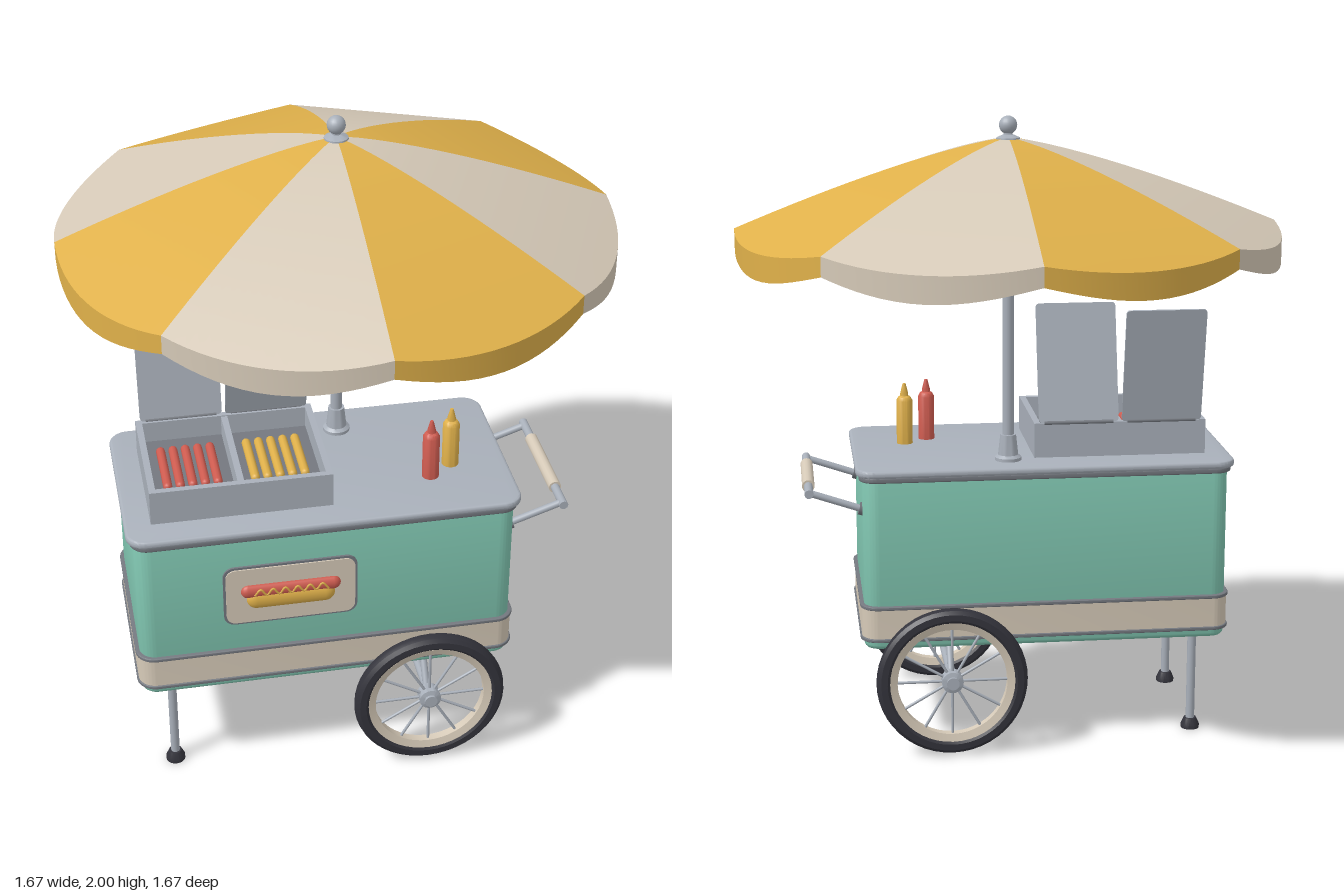
import * as THREE from 'three';
import { toCreasedNormals } from 'three/addons/utils/BufferGeometryUtils.js';

const mat = (name, color, side = THREE.FrontSide) => {
  const m = new THREE.MeshStandardMaterial({ color, side });
  m.name = name;
  return m;
};
const V = (x, y, z) => new THREE.Vector3(x, y, z);

export function createModel() {
  const teal = mat('teal paint', 0x7fc4af);
  const cream = mat('cream', 0xd6cab8, THREE.DoubleSide);
  const yellow = mat('mustard yellow', 0xdfb04a, THREE.DoubleSide);
  const steel = mat('steel', 0xa9b0ba);
  const trim = mat('dark trim', 0x74787f);
  const rubber = mat('black rubber', 0x34343c);
  const red = mat('red', 0xcf5c50);

  const model = new THREE.Group();
  model.name = 'foodCart';
  const add = (name, geo, material, pos = [0, 0, 0], parent = model) => {
    const m = new THREE.Mesh(geo, material);
    m.name = name;
    m.position.set(...pos);
    parent.add(m);
    return m;
  };
  // Rounded rectangle in XY, thickness d along +z, optional bevel b
  const plate = (w, h, d, r, b = 0) => {
    const s = new THREE.Shape(), x = w / 2, y = h / 2;
    s.moveTo(-x + r, -y);
    s.lineTo(x - r, -y).absarc(x - r, -y + r, r, -Math.PI / 2, 0);
    s.lineTo(x, y - r).absarc(x - r, y - r, r, 0, Math.PI / 2);
    s.lineTo(-x + r, y).absarc(-x + r, y - r, r, Math.PI / 2, Math.PI);
    s.lineTo(-x, -y + r).absarc(-x + r, -y + r, r, Math.PI, Math.PI * 1.5);
    const g = new THREE.ExtrudeGeometry(s, {
      depth: d - 2 * b, curveSegments: 8, bevelEnabled: b > 0,
      bevelSize: b, bevelOffset: -b, bevelThickness: b, bevelSegments: 3,
    });
    g.translate(0, 0, b);
    return toCreasedNormals(g, 0.6);
  };
  // Horizontal slab centred on the cart body, between heights y0 and y1
  const CX = -0.115, CZ = 0.195;
  const slab = (name, w, d, y0, y1, r, b, material) =>
    add(name, plate(w, d, y1 - y0, r, b).rotateX(-Math.PI / 2), material, [CX, y0, CZ]);
  const rod = (name, a, b, r, material, parent = model, r2 = r) => {
    const dir = b.clone().sub(a);
    const m = add(name, new THREE.CylinderGeometry(r2, r, dir.length(), 14), material, [0, 0, 0], parent);
    m.position.copy(a).add(b).multiplyScalar(0.5);
    m.quaternion.setFromUnitVectors(V(0, 1, 0), dir.normalize());
    return m;
  };
  const lathe = (pts, seg = 24) => toCreasedNormals(
    new THREE.LatheGeometry(pts.map(p => new THREE.Vector2(...p)), seg), 0.6);

  // Cart body, band and counter
  slab('body', 1.16, 0.58, 0.335, 0.9, 0.05, 0.015, teal);
  slab('band', 1.175, 0.595, 0.372, 0.472, 0.055, 0, cream);
  slab('bandTrimTop', 1.185, 0.605, 0.468, 0.48, 0.06, 0.004, trim);
  slab('bandTrimBottom', 1.185, 0.605, 0.362, 0.374, 0.06, 0.004, trim);
  slab('counterTrim', 1.18, 0.6, 0.882, 0.9, 0.055, 0.004, trim);
  slab('counter', 1.2, 0.615, 0.898, 0.922, 0.06, 0.008, steel);

  // Sign with a sausage in a bun
  add('signFrame', plate(0.41, 0.212, 0.008, 0.035), trim, [-0.232, 0.682, 0.484]);
  add('signPanel', plate(0.395, 0.197, 0.012, 0.03), cream, [-0.232, 0.682, 0.484]);
  const lying = (name, r, len, material, pos, flat) => {
    const g = new THREE.CapsuleGeometry(r, len - 2 * r, 6, 14).rotateZ(Math.PI / 2);
    return add(name, g, material, pos).scale.set(1, 1, flat);
  };
  lying('signBun', 0.031, 0.27, yellow, [-0.232, 0.668, 0.496], 0.6);
  lying('signSausage', 0.022, 0.305, red, [-0.232, 0.7, 0.496], 0.75);
  const zig = Array.from({ length: 13 }, (_, i) =>
    V(-0.345 + i * 0.0188, 0.7 + (i % 2 ? 0.012 : -0.008), 0.512));
  add('signMustard', new THREE.TubeGeometry(new THREE.CatmullRomCurve3(zig), 60, 0.0035, 6), yellow);

  // Legs with flared feet
  for (const z of [0.41, -0.02]) {
    rod('leg', V(-0.6, 0.02, z), V(-0.6, 0.345, z), 0.014, steel);
    add('foot', lathe([[0, 0], [0.03, 0], [0.03, 0.012], [0.02, 0.034], [0, 0.034]]), rubber, [-0.6, 0, z]);
  }

  // Axle, struts and spoked wheels
  const WX = 0.195, WY = 0.245;
  rod('axle', V(WX, WY, -0.18), V(WX, WY, 0.57), 0.013, steel);
  for (const s of [1, -1]) {
    rod('axleStrut', V(WX, WY, CZ + s * 0.31), V(WX, 0.35, CZ + s * 0.24), 0.011, steel);
    const wheel = new THREE.Group();
    wheel.name = 'wheel';
    wheel.position.set(WX, WY, CZ + s * 0.349);
    model.add(wheel);
    const ring = (pts) => lathe(pts, 48).rotateX(Math.PI / 2);
    add('tire', ring([[0.196, -0.018], [0.206, -0.025], [0.226, -0.024], [0.237, -0.014], [0.24, 0],
      [0.237, 0.014], [0.226, 0.024], [0.206, 0.025], [0.196, 0.018], [0.196, -0.018]]), rubber, [0, 0, 0], wheel);
    add('rim', ring([[0.174, -0.013], [0.198, -0.02], [0.198, 0.02], [0.174, 0.013], [0.174, -0.013]]),
      cream, [0, 0, 0], wheel);
    add('hub', ring([[0, -0.032], [0.02, -0.032], [0.02, -0.024], [0.034, -0.02],
      [0.034, 0.02], [0.02, 0.024], [0.02, 0.032], [0, 0.032]]), steel, [0, 0, 0], wheel);
    for (let i = 0; i < 12; i++) {
      const a = i * Math.PI / 6, c = Math.cos(a), n = Math.sin(a);
      rod('spoke', V(c * 0.03, n * 0.03, 0), V(c * 0.178, n * 0.178, 0), 0.0045, steel, wheel);
    }
  }

  // Push handle
  for (const z of [0.41, -0.03]) {
    rod('handleArm', V(0.455, 0.78, z), V(0.63, 0.84, z), 0.011, steel);
    rod('handleMount', V(0.46, 0.782, z), V(0.474, 0.786, z), 0.02, trim);
  }
  rod('handleBar', V(0.63, 0.84, -0.05), V(0.63, 0.84, 0.43), 0.014, steel);
  rod('handleGrip', V(0.63, 0.84, 0.05), V(0.63, 0.84, 0.33), 0.02, cream);

  // Open grill box with two bays
  const box = (name, x0, x1, y0, y1, z0, z1, material) =>
    add(name, new THREE.BoxGeometry(x1 - x0, y1 - y0, z1 - z0), material,
      [(x0 + x1) / 2, (y0 + y1) / 2, (z0 + z1) / 2]);
  box('grillFront', -0.635, -0.085, 0.92, 1.033, 0.39, 0.41, steel);
  box('grillBack', -0.635, -0.085, 0.92, 1.033, 0.01, 0.03, steel);
  for (const x of [-0.635, -0.105]) box('grillSide', x, x + 0.02, 0.92, 1.033, 0.03, 0.39, steel);
  box('grillDivider', -0.37, -0.35, 0.92, 1.03, 0.03, 0.39, steel);
  box('grillFloor', -0.615, -0.105, 0.92, 0.965, 0.03, 0.39, trim);
  for (const [x0, material, name] of [[-0.57, red, 'sausage'], [-0.305, yellow, 'bun']])
    for (let i = 0; i < 5; i++)
      add(name, new THREE.CapsuleGeometry(0.014, 0.19, 5, 10).rotateX(Math.PI / 2), material,
        [x0 + i * 0.038, 0.98, 0.21]);

  // Lids, one leaning back and one leaning forward
  for (const [x, z1] of [[-0.4925, -0.05], [-0.2275, 0.11]]) {
    const lid = new THREE.Group();
    lid.name = 'lid';
    lid.position.set(x, 1.033, 0.015);
    lid.rotation.x = Math.atan2(z1 - 0.015, 0.367);
    model.add(lid);
    const len = Math.hypot(z1 - 0.015, 0.367);
    add('lidPanel', plate(0.255, len, 0.008, 0.012), steel, [0, len / 2, -0.004], lid);
    rod('lidHinge', V(-0.11, 0, 0), V(0.11, 0, 0), 0.007, trim, lid);
  }

  // Squeeze bottles
  for (const [x, z, material, name] of [[0.235, 0.31, red, 'redBottle'], [0.31, 0.255, yellow, 'yellowBottle']])
    add(name, lathe([[0, 0], [0.026, 0], [0.026, 0.145], [0.02, 0.156], [0.013, 0.16],
      [0.013, 0.168], [0.005, 0.2], [0, 0.2]]), material, [x, 0.92, z]);

  // Umbrella pole, socket and finial
  rod('pole', V(0, 0.92, 0), V(0, 1.93, 0), 0.018, steel);
  add('poleSocket', lathe([[0, 0], [0.042, 0], [0.042, 0.012], [0.032, 0.02], [0.025, 0.085], [0, 0.085]]),
    steel, [0, 0.92, 0]);
  add('finialCollar', lathe([[0, 0], [0.038, 0], [0.036, 0.012], [0.014, 0.022], [0.014, 0.04], [0, 0.04]]),
    steel, [0, 1.922, 0]);
  add('finialBall', new THREE.SphereGeometry(0.028, 20, 14), steel, [0, 1.972, 0]);

  // Canopy: eight flat-stretched panels with a scalloped valance
  const R = 0.835, half = Math.PI / 8;
  const height = (r, u) => {
    const e = r * Math.cos((u - 0.5) * 2 * half) / Math.cos(half);
    return 1.935 - 0.265 * Math.pow(e / R, 1.3);
  };
  const surface = (nu, nv, f) => {
    const pos = [], idx = [];
    for (let j = 0; j <= nv; j++)
      for (let i = 0; i <= nu; i++) pos.push(...f(i / nu, j / nv));
    for (let j = 0; j < nv; j++)
      for (let i = 0; i < nu; i++) {
        const a = j * (nu + 1) + i, b = a + nu + 1;
        idx.push(a, a + 1, b, a + 1, b + 1, b);
      }
    const g = new THREE.BufferGeometry();
    g.setAttribute('position', new THREE.Float32BufferAttribute(pos, 3));
    g.setIndex(idx);
    g.computeVertexNormals();
    return g;
  };
  for (let k = 0; k < 8; k++) {
    const material = k % 2 ? yellow : cream;
    const at = (r, u, y) => {
      const a = (k + u) * Math.PI / 4;
      return [r * Math.cos(a), y, r * Math.sin(a)];
    };
    add('canopyPanel', surface(16, 14, (u, v) => {
      const r = 0.004 + (R - 0.004) * v;
      return at(r, u, height(r, u));
    }), material);
    add('canopyValance', surface(16, 3, (u, v) =>
      at(R, u, THREE.MathUtils.lerp(height(R, u), 1.612 - 0.05 * Math.sin(Math.PI * u), v))), material);
    const rib = Array.from({ length: 8 }, (_, i) => {
      const r = 0.02 + i * 0.115;
      return V(...at(r, 0, height(r, 0) - 0.007));
    });
    add('canopyRib', new THREE.TubeGeometry(new THREE.CatmullRomCurve3(rib), 16, 0.004, 6), trim);
  }
  return model;
}
